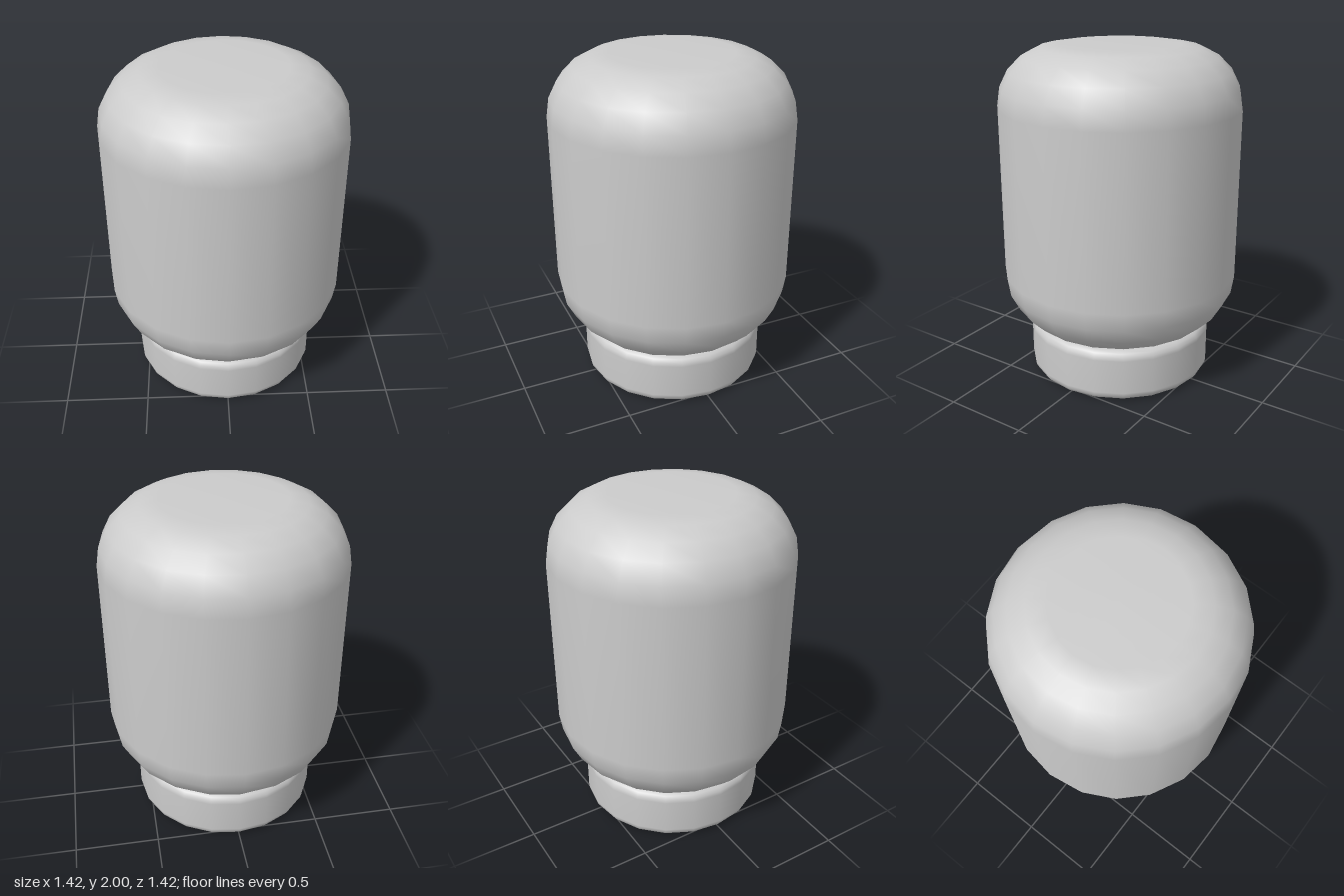
import * as THREE from 'three';

const SIDES = 20;

// Solid round drum with rounded rims, from y0 to y1
function roundedDrum(name, radius, y0, y1, bevel, steps) {
  const profile = [new THREE.Vector2(0, y0)];
  const flat = radius - bevel;
  for (let i = 0; i <= steps; i++) {
    const a = (i / steps) * Math.PI / 2;
    profile.push(new THREE.Vector2(flat + bevel * Math.sin(a), y0 + bevel * (1 - Math.cos(a))));
  }
  for (let i = 0; i <= steps; i++) {
    const a = (i / steps) * Math.PI / 2;
    profile.push(new THREE.Vector2(flat + bevel * Math.cos(a), y1 - bevel * (1 - Math.sin(a))));
  }
  profile.push(new THREE.Vector2(0, y1));
  const mesh = new THREE.Mesh(
    new THREE.LatheGeometry(profile, SIDES),
    new THREE.MeshStandardMaterial({ color: 0xcccccc })
  );
  mesh.name = name;
  return mesh;
}

export function createModel() {
  const model = new THREE.Group();
  model.name = 'jar';

  // Large body with soft shoulders, sunk slightly into the cap
  model.add(roundedDrum('body', 0.712, 0.29, 2, 0.352, 5));

  // Short cap the body stands on
  model.add(roundedDrum('cap', 0.557, 0, 0.325, 0.058, 4));

  return model;
}
